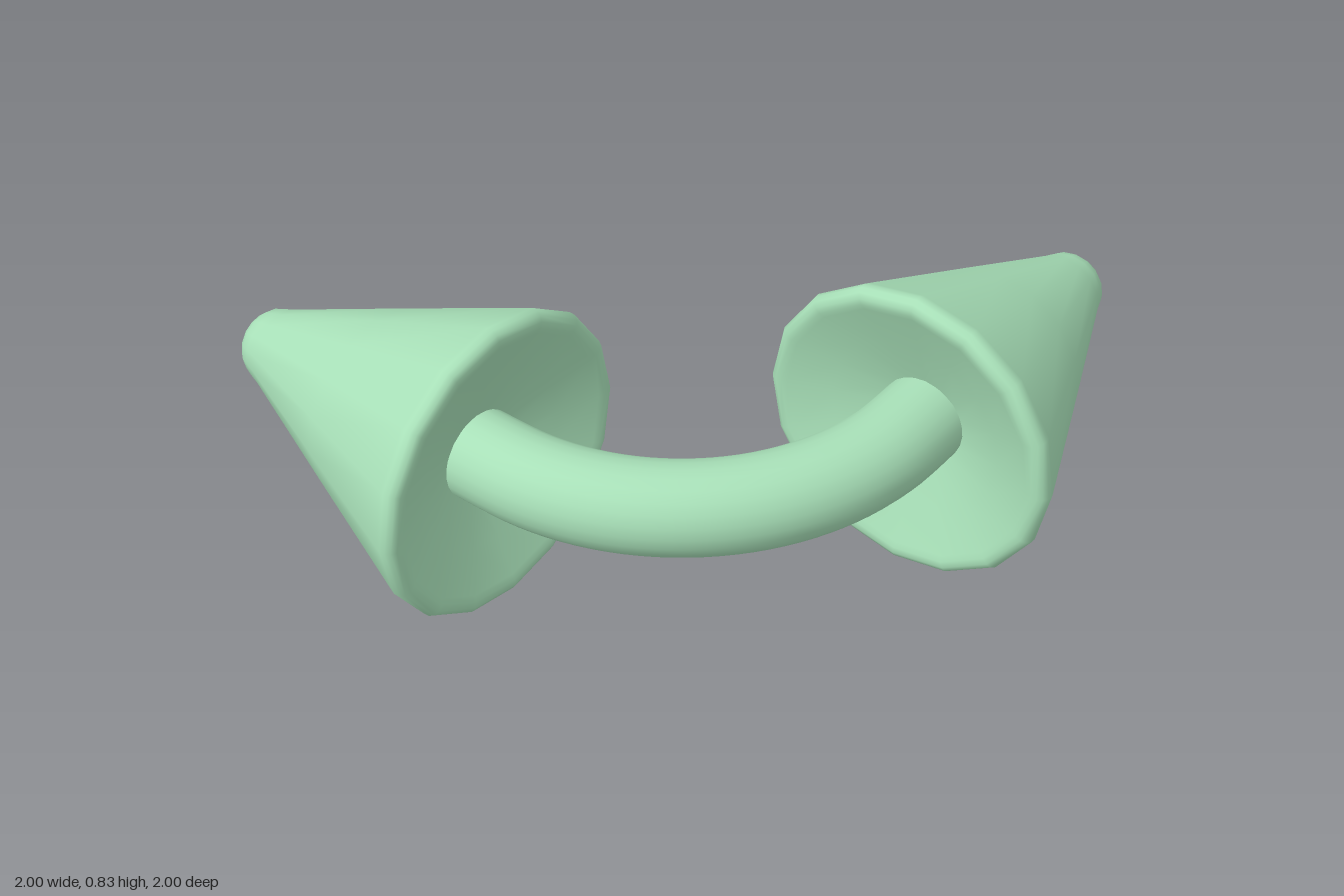
import * as THREE from 'three';

const AXIS_Y = 0.415;   // height of the whole piece's centre line
const CENTRE = 0.585;   // sideways offset of each spike's axis
const BASE = 0.115;     // where each spike's base plane lies
const material = new THREE.MeshStandardMaterial({ color: 0xa8e0b8 });

// Spike: dished base, rounded rim, tapering wall, blunt rounded tip (along +y)
function makeSpike(name) {
  const profile = [
    [0, 0.13], [0.12, 0.095], [0.25, 0.05], [0.36, 0.008],
    [0.375, 0.001], [0.392, 0], [0.406, 0.007], [0.414, 0.02], [0.415, 0.036], [0.409, 0.052],
    [0.26, 0.428], [0.115, 0.79],
    [0.104, 0.824], [0.094, 0.85], [0.076, 0.872], [0.052, 0.884], [0, 0.885],
  ].map(([r, y]) => new THREE.Vector2(r, y));
  const spike = new THREE.Mesh(new THREE.LatheGeometry(profile, 16), material);
  spike.name = name;
  return spike;
}

export function createModel() {
  const group = new THREE.Group();
  group.name = 'curvedBarbell';

  // Spike pointing to the back
  const backSpike = makeSpike('backSpike');
  backSpike.rotation.x = -Math.PI / 2;
  backSpike.position.set(-CENTRE, AXIS_Y, -BASE);

  // Spike pointing to the side
  const sideSpike = makeSpike('sideSpike');
  sideSpike.rotation.z = -Math.PI / 2;
  sideSpike.position.set(BASE, AXIS_Y, CENTRE);

  // Quarter-circle bar, running a little way straight into each spike
  const R = CENTRE + BASE, inset = 0.16;
  const points = [new THREE.Vector3(-CENTRE, AXIS_Y, -BASE - inset)];
  for (let i = 0; i <= 16; i++) {
    const a = (i / 16) * Math.PI / 2;
    points.push(new THREE.Vector3(BASE - R * Math.cos(a), AXIS_Y, -BASE + R * Math.sin(a)));
  }
  points.push(new THREE.Vector3(BASE + inset, AXIS_Y, CENTRE));
  const path = new THREE.CatmullRomCurve3(points);
  const bar = new THREE.Mesh(new THREE.TubeGeometry(path, 40, 0.12, 24), material);
  bar.name = 'curvedBar';

  group.add(backSpike, sideSpike, bar);
  return group;
}
